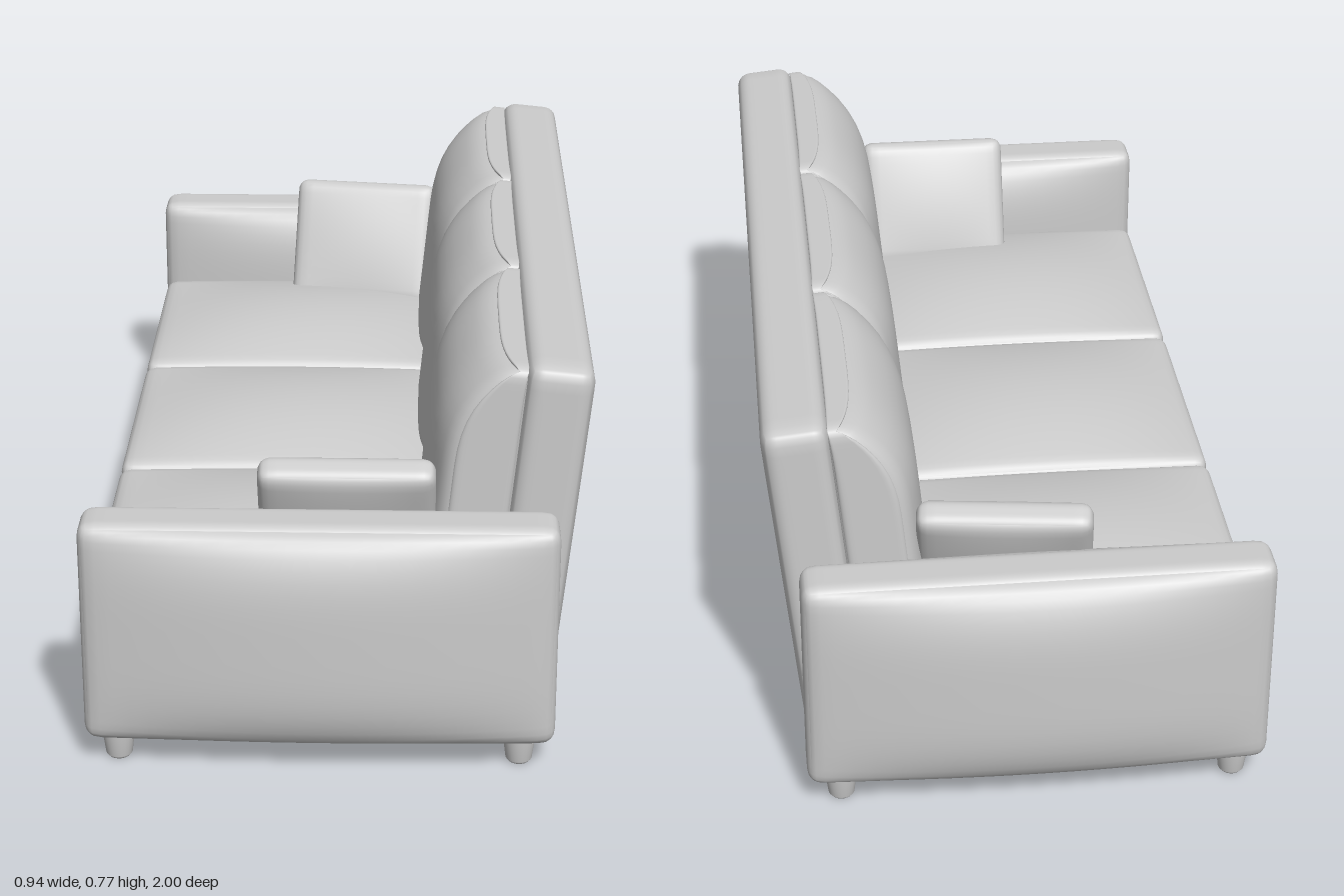
import * as THREE from 'three';
import { mergeVertices } from 'three/addons/utils/BufferGeometryUtils.js';

const material = new THREE.MeshStandardMaterial({ color: 0xcccccc });

// Rounded, finely divided box; shape(v, u) may push each vertex, u being its place in -1..1.
function softBox(w, h, d, r, shape, n = 24) {
  const geo = new THREE.BoxGeometry(2, 2, 2, n, n, n);
  geo.deleteAttribute('uv');
  geo.deleteAttribute('normal');
  const pos = geo.attributes.position;
  const half = new THREE.Vector3(w / 2, h / 2, d / 2);
  const inner = half.clone().subScalar(r);
  const u = new THREE.Vector3(), v = new THREE.Vector3(), q = new THREE.Vector3();
  const dense = (t) => Math.sin((t * Math.PI) / 2); // closer spacing near the edges
  for (let i = 0; i < pos.count; i++) {
    u.fromBufferAttribute(pos, i);
    u.set(dense(u.x), dense(u.y), dense(u.z));
    v.copy(u).multiply(half);
    q.copy(v).clamp(inner.clone().negate(), inner);
    v.sub(q).setLength(r).add(q);
    if (shape) shape(v, u);
    pos.setXYZ(i, v.x, v.y, v.z);
  }
  const smooth = mergeVertices(geo, 1e-5);
  smooth.computeVertexNormals();
  return smooth;
}

const dome = (a, b) => (1 - a * a) * (1 - b * b);

export function createModel() {
  const sofa = new THREE.Group();
  sofa.name = 'sofa';
  const add = (name, geo, x, y, z) => {
    const mesh = new THREE.Mesh(geo, material);
    mesh.name = name;
    mesh.position.set(x, y, z);
    sofa.add(mesh);
    return mesh;
  };

  // Base and leaning back
  add('base', softBox(0.81, 0.15, 1.65, 0.015), -0.045, 0.13, 0);
  const lean = -0.1;
  add('backFrame', softBox(0.125, 0.69, 1.67, 0.03), 0.375, 0.425, 0).rotation.z = lean;

  // Three seat cushions with crowned tops, three back cushions tapering upward
  const seatGeo = softBox(0.71, 0.12, 0.548, 0.025, (v, u) => {
    if (u.y > 0) v.y += 0.045 * u.y * dome(u.x, u.z);
  });
  const backGeo = softBox(0.16, 0.465, 0.548, 0.025, (v, u) => {
    const front = (1 - u.x) / 2;
    v.x += front * (0.1 * Math.max(0, u.y) ** 3 + 0.035 * u.z ** 4);
  });
  for (const i of [-1, 0, 1]) {
    add('seatCushion', seatGeo, -0.11, 0.255, i * 0.55);
    add('backCushion', backGeo, 0.25, 0.54, i * 0.55).rotation.z = lean;
  }

  // Padded arms, swelling on both faces
  const armGeo = softBox(0.88, 0.445, 0.11, 0.028, (v, u) => {
    v.z += 0.052 * u.z * (1 - u.x ** 2) * (1 - u.y ** 4);
    if (u.y < 0) v.y += 0.006 * u.y * (1 - u.x ** 2);
  });
  // Loose pillow and tapered legs
  const pillowGeo = softBox(0.33, 0.29, 0.065, 0.024, (v, u) => {
    v.z += 0.013 * u.z * dome(u.x, u.y);
  }, 18);
  const legProfile = [[0, 0], [0.02, 0], [0.025, 0.006], [0.032, 0.06], [0.032, 0.08]];
  const legGeo = new THREE.LatheGeometry(legProfile.map(([x, y]) => new THREE.Vector2(x, y)), 24);

  for (const side of [-1, 1]) {
    const label = side > 0 ? 'left' : 'right';
    add(label + 'Arm', armGeo, -0.03, 0.2775, side * 0.895);
    const pillow = add(label + 'Pillow', pillowGeo, 0.018, 0.435, side * 0.763);
    pillow.rotation.set(side * 0.4, side > 0 ? 0 : -0.13, 0, 'YXZ');
    add(label + 'FrontLeg', legGeo, -0.41, 0, side * 0.895);
    add(label + 'BackLeg', legGeo, 0.345, 0, side * 0.895);
  }
  return sofa;
}
